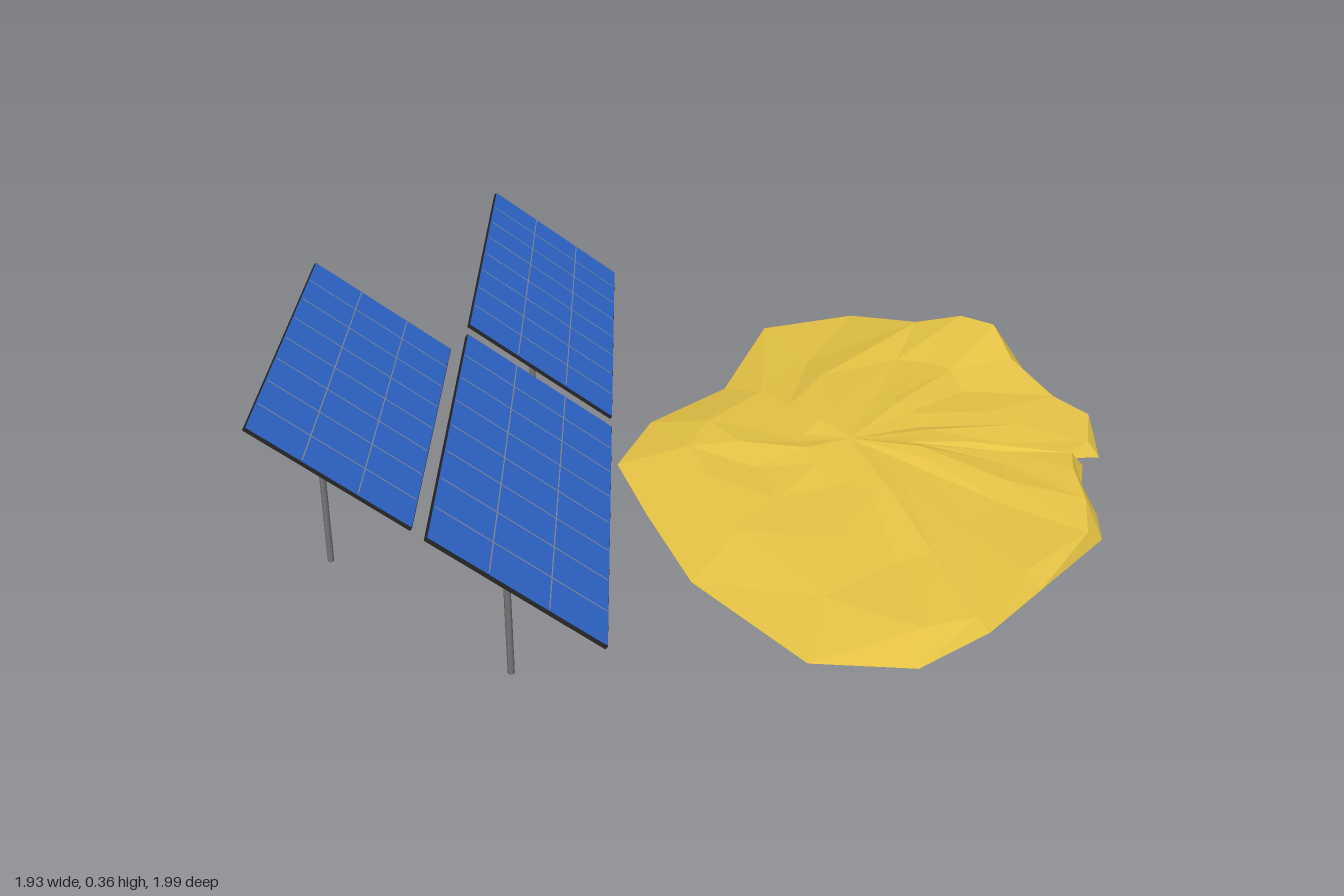
import * as THREE from 'three';

const mat = (color, extra = {}) => new THREE.MeshStandardMaterial({ color, ...extra });
const sand = mat(0xe6c445, { flatShading: true });
const blue = mat(0x3068d0);
const dark = mat(0x262626);
const steel = mat(0x777777);
const wire = mat(0x8a8f9c);

function add(parent, name, geometry, material, x = 0, y = 0, z = 0) {
  const mesh = new THREE.Mesh(geometry, material);
  mesh.name = name;
  mesh.position.set(x, y, z);
  parent.add(mesh);
  return mesh;
}

// Solar panel: tilted tray with a cell grid on two posts
function solarPanel(x, z, postShift) {
  const L = 0.89, W = 0.4, columns = 8, rows = 3;
  const group = new THREE.Group();
  group.name = 'solarPanel';
  group.position.set(x, 0, z);
  group.rotation.y = -0.849;

  const tray = new THREE.Group();
  tray.name = 'panelTray';
  tray.position.y = 0.24;
  tray.rotation.x = -0.64;
  group.add(tray);
  add(tray, 'backing', new THREE.BoxGeometry(L, 0.008, W), dark, 0, -0.002, 0);
  add(tray, 'cells', new THREE.BoxGeometry(L - 0.004, 0.003, W - 0.004), blue, 0, 0.003, 0);
  for (let i = 1; i < columns; i++)
    add(tray, 'crossLine', new THREE.BoxGeometry(0.0025, 0.001, W - 0.01), wire, (i / columns - 0.5) * L, 0.0047, 0);
  for (let i = 1; i < rows; i++)
    add(tray, 'longLine', new THREE.BoxGeometry(L - 0.01, 0.001, 0.0025), wire, 0, 0.0047, (i / rows - 0.5) * W);

  for (const side of [-1, 1])
    add(group, 'post', new THREE.CylinderGeometry(0.007, 0.007, 0.256, 8), steel, postShift + side * 0.355, 0.128, 0.028);
  return group;
}

// Sand mound: foot x, foot z, rim x, rim z, rim height, going round the edge
const EDGE = [
  [0.20, -1.00, 0.20, -0.92, 0.145], [0.33, -0.925, 0.30, -0.915, 0.15],
  [0.45, -0.855, 0.41, -0.82, 0.12], [0.60, -0.77, 0.58, -0.725, 0.105],
  [0.70, -0.71, 0.69, -0.70, 0.10], [0.78, -0.59, 0.75, -0.585, 0.095],
  [0.715, -0.53, 0.64, -0.47, 0.10], [0.77, -0.53, 0.75, -0.51, 0.095],
  [0.81, -0.45, 0.79, -0.44, 0.10], [0.90, -0.35, 0.88, -0.33, 0.10],
  [0.96, -0.26, 0.945, -0.22, 0.09], [0.96, 0.00, 0.92, 0.00, 0.09],
  [0.96, 0.20, 0.93, 0.20, 0.085], [0.92, 0.39, 0.87, 0.30, 0.085],
  [0.75, 0.51, 0.66, 0.33, 0.085], [0.40, 0.43, 0.38, 0.25, 0.095],
  [0.15, 0.28, 0.20, 0.12, 0.105], [-0.05, 0.15, 0.07, 0.04, 0.105],
  [-0.13, -0.06, 0.03, -0.08, 0.11], [-0.11, -0.32, 0.02, -0.30, 0.10],
  [-0.26, -0.68, -0.02, -0.55, 0.08], [-0.13, -0.90, 0.09, -0.88, 0.11],
];

function moundGeometry() {
  const base = 0.06, cx = 0.35, cz = -0.2;
  const ring = (t, height, wobble) => EDGE.map(([, , x, z], i) => {
    const px = x + (cx - x) * t;
    return [px, height - 0.025 * (px - 0.2) + 0.007 * Math.sin(i * wobble), z + (cz - z) * t];
  });
  const rings = [
    EDGE.map(([x, z]) => [x, base, z]),
    EDGE.map(([, , x, z, y]) => [x, y, z]),
    ring(0.32, 0.108, 2.3),
    ring(0.68, 0.12, 1.7),
  ];
  const top = [cx, 0.122, cz], under = [cx, base, cz];
  const positions = [];
  const tri = (...corners) => corners.forEach((c) => positions.push(...c));
  const n = EDGE.length;
  for (let i = 0; i < n; i++) {
    const j = (i + 1) % n;
    for (let r = 0; r < rings.length - 1; r++) {
      const a = rings[r], b = rings[r + 1];
      tri(a[j], a[i], b[i]);
      tri(a[j], b[i], b[j]);
    }
    const last = rings[rings.length - 1];
    tri(last[j], last[i], top);
    tri(rings[0][i], rings[0][j], under);
  }
  const geometry = new THREE.BufferGeometry();
  geometry.setAttribute('position', new THREE.Float32BufferAttribute(positions, 3));
  geometry.computeVertexNormals();
  return geometry;
}

export function createModel() {
  const model = new THREE.Group();
  model.name = 'solarField';
  add(model, 'sandMound', moundGeometry(), sand);
  model.add(
    solarPanel(-0.555, -0.16, -0.034),
    solarPanel(-0.53, 0.49, 0.014),
    solarPanel(0.07, 0.55, -0.005),
  );
  return model;
}
